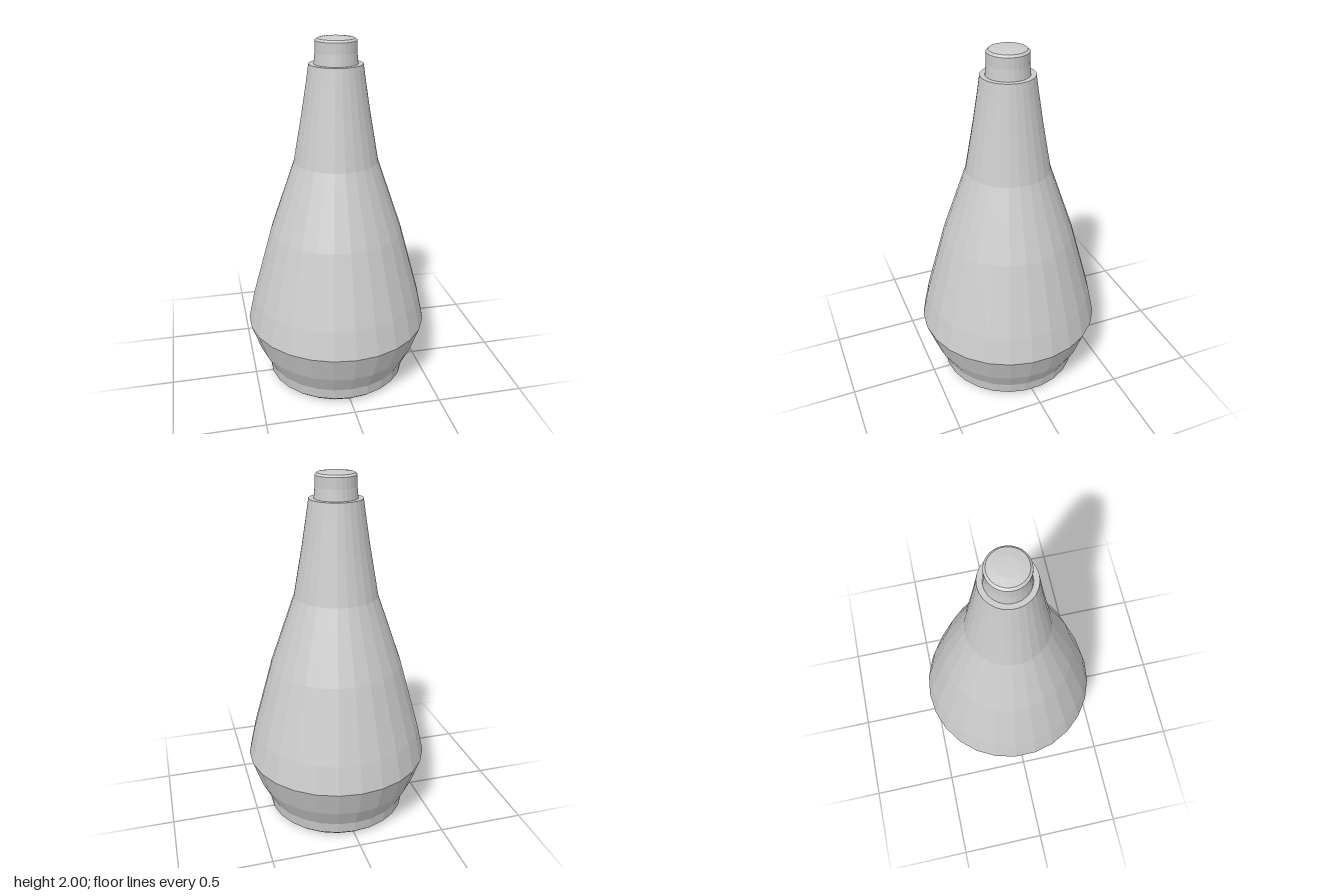
import * as THREE from 'three';

const SIDES = 26;

// Faceted turned part from a [radius, height] profile, listed bottom to top
function turned(name, profile) {
  const points = profile.map(([r, y]) => new THREE.Vector2(r, y));
  const material = new THREE.MeshStandardMaterial({ color: 0xcccccc, flatShading: true });
  const mesh = new THREE.Mesh(new THREE.LatheGeometry(points, SIDES), material);
  mesh.name = name;
  return mesh;
}

export function createModel() {
  const group = new THREE.Group();
  group.name = 'bottle';

  // Bevelled foot with a flat underside
  group.add(turned('foot', [[0, 0], [0.375, 0], [0.403, 0.025], [0.411, 0.09]]));

  // Belly swelling out, then narrowing to the shoulder and its flat ledge
  group.add(turned('body', [
    [0.411, 0.09], [0.467, 0.2], [0.522, 0.36], [0.487, 0.52], [0.373, 0.93],
    [0.234, 1.33], [0.186, 1.6], [0.159, 1.77], [0.146, 1.86], [0.118, 1.86],
  ]));

  // Short neck, slightly flared at its base
  group.add(turned('neck', [[0.118, 1.86], [0.112, 1.92], [0.112, 1.98]]));

  // Low domed cap
  group.add(turned('cap', [[0.112, 1.98], [0.1, 1.991], [0.055, 1.998], [0, 2]]));

  return group;
}
